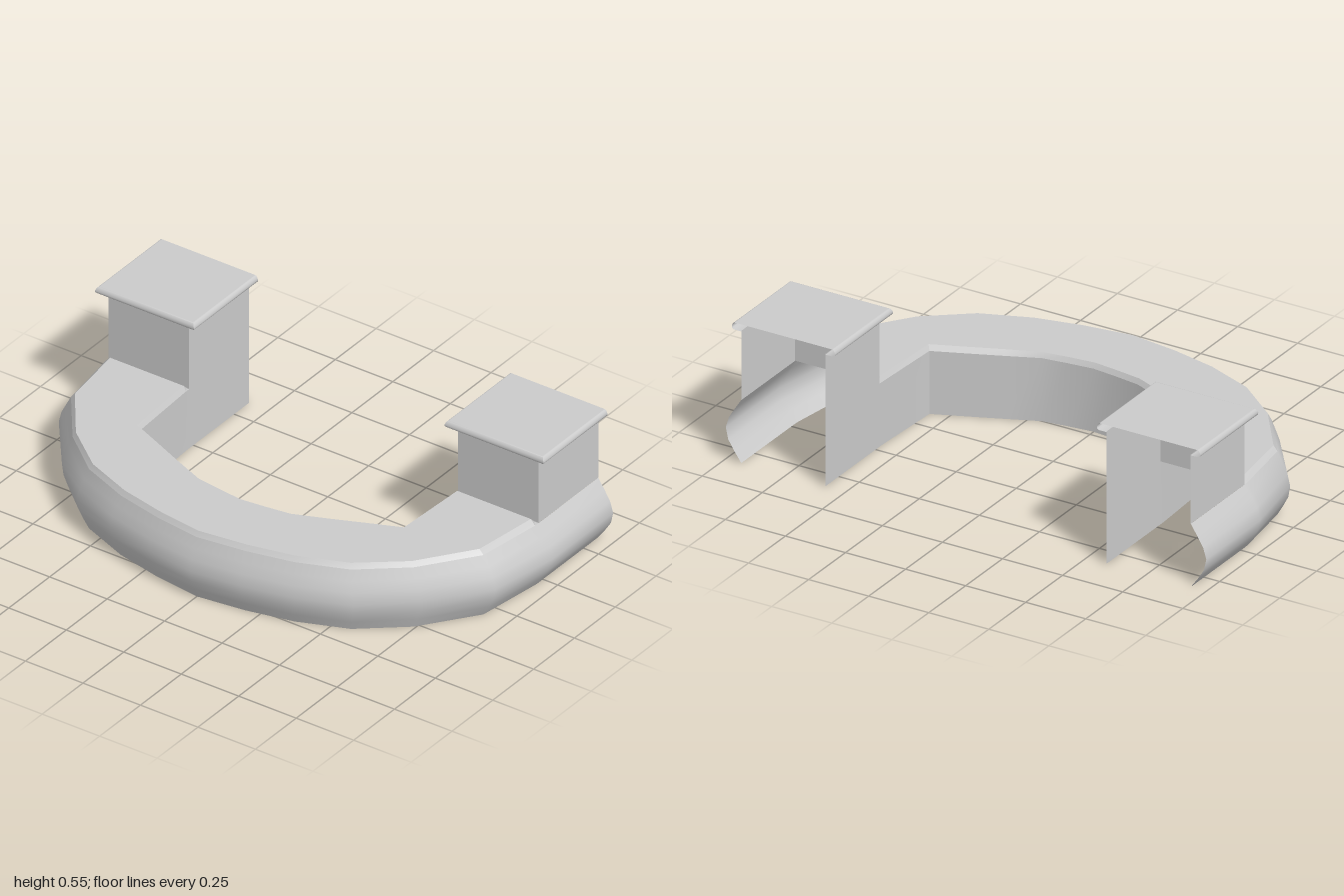
import * as THREE from 'three';
import { toCreasedNormals } from 'three/addons/utils/BufferGeometryUtils.js';

const material = new THREE.MeshStandardMaterial({ color: 0xcccccc, side: THREE.DoubleSide });

// Thin surface through rows of [x, y, z] points
function sheet(name, rows, crease = 0.6) {
  const n = rows[0].length, index = [];
  for (let i = 0; i < rows.length - 1; i++) {
    for (let j = 0; j < n - 1; j++) {
      const a = i * n + j, b = a + n;
      index.push(a, a + 1, b, b, a + 1, b + 1);
    }
  }
  const geometry = new THREE.BufferGeometry();
  geometry.setAttribute('position', new THREE.Float32BufferAttribute(rows.flat(2), 3));
  geometry.setIndex(index);
  const mesh = new THREE.Mesh(toCreasedNormals(geometry, crease), material);
  mesh.name = name;
  return mesh;
}

// Complete a half plan (left back to centre front) with its mirror image
const mirrorRows = (rows) => [
  ...rows,
  ...rows.slice(0, -1).reverse().map((row) => row.map(([x, y, z]) => [-x, y, z])),
];

// Plan outlines [x, z]: widest line of the bulge, and edge of the top face
const bulge = [[1, -0.225], [0.995, -0.2], [0.95, 0.06], [0.78, 0.28], [0.6, 0.44], [0.4, 0.52], [0.2, 0.565], [0, 0.59]];
const rim = [[0.915, -0.225], [0.915, -0.205], [0.88, 0.06], [0.73, 0.265], [0.56, 0.4], [0.37, 0.475], [0.19, 0.515], [0, 0.54]];
// Bulge section: [fraction from bulge to rim, height]
const section = [[0.76, 0], [0.42, 0.04], [0.12, 0.08], [0, 0.125], [0.16, 0.17], [0.45, 0.21], [0.76, 0.25]];
const skinPoint = (i, [t, y]) => [
  THREE.MathUtils.lerp(bulge[i][0], rim[i][0], t), y,
  THREE.MathUtils.lerp(bulge[i][1], rim[i][1], t),
];

// Inner wall plan at each of the same stations
const inner = [[0.585, -0.225], [0.585, -0.205], [0.57, 0.09], [0.445, 0.143], [0.32, 0.197], [0.2, 0.25], [0.1, 0.264], [0, 0.275]];

function createPost(side) {
  const post = new THREE.Group();
  post.name = side > 0 ? 'leftPost' : 'rightPost';
  // Three-sided plan, open at the back
  const plan = (x0, x1, front) => {
    const p = [[x1, -0.59], [x1, front], [x0, front], [x0, -0.59]];
    return side > 0 ? p : p.map(([x, z]) => [-x, z]).reverse();
  };
  post.add(sheet('postWalls', plan(0.585, 0.935, -0.225).map(([x, z]) => [[x, 0.25, z], [x, 0.525, z]])));

  // Cap with a rounded edge: [inset, height]
  const edge = [[0.04, 0.522], [0.007, 0.522], [0.001, 0.527], [0, 0.534], [0.003, 0.542], [0.008, 0.549], [0.012, 0.55]];
  const rows = [0, 1, 2, 3].map((i) => edge.map(([d, y]) => {
    const [x, z] = plan(0.545 + d, 0.975 - d, -0.197 - d)[i];
    return [x, y, z];
  }));
  post.add(sheet('capEdge', rows, 0.9));
  const top = rows.map((row) => row[row.length - 1]);
  post.add(sheet('capTop', [[top[1], top[0]], [top[2], top[3]]]));
  return post;
}

export function createModel() {
  const model = new THREE.Group();
  model.name = 'bumper';

  // Rounded outer skin, running straight to the back ends
  const skin = bulge.map((_, i) => section.map((s) => skinPoint(i, s)));
  skin.unshift(skin[0].map(([x, y]) => [x, y, -0.59]));
  model.add(sheet('outerSkin', mirrorRows(skin), 0.8));

  // Top face with bevelled edges, dropping to the foot of each post
  const top = inner.map(([x, z], i) => {
    const y = i === 0 ? 0.25 : 0.27;
    return [
      skinPoint(i, section[section.length - 1]),
      [rim[i][0], y, rim[i][1]],
      [x + (i < 5 ? 0.01 : 0), y, z + (i > 1 ? 0.01 : 0)],
      [x, 0.25, z],
    ];
  });
  model.add(sheet('topFace', mirrorRows(top), 0.3));

  // Flat inner wall
  const wall = inner.map(([x, z]) => [[x, 0.25, z], [x, 0, z]]);
  wall.unshift([[0.585, 0.25, -0.59], [0.585, 0, -0.59]]);
  model.add(sheet('innerWall', mirrorRows(wall), 0.4));

  for (const side of [1, -1]) model.add(createPost(side));
  return model;
}
